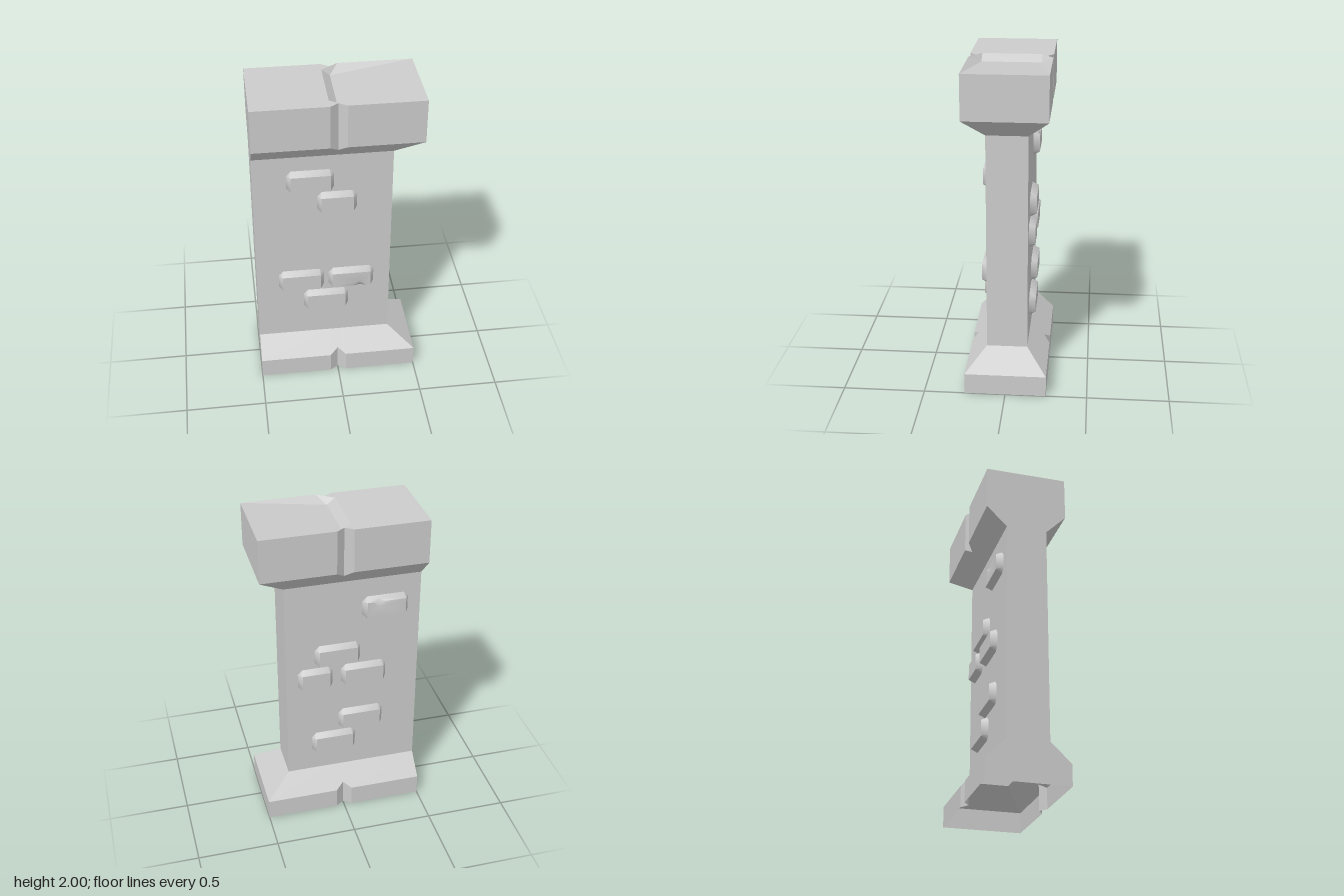
import * as THREE from 'three';
import { toCreasedNormals } from 'three/addons/utils/BufferGeometryUtils.js';

const material = new THREE.MeshStandardMaterial({ color: 0xcccccc, side: THREE.DoubleSide });

// Collects convex polygons (counter-clockwise from outside) as triangle fans.
function polygonMesh(name, polygons, crease) {
  const pos = [];
  for (const p of polygons) {
    for (let i = 1; i < p.length - 1; i++) pos.push(...p[0], ...p[i], ...p[i + 1]);
  }
  const geo = new THREE.BufferGeometry();
  geo.setAttribute('position', new THREE.Float32BufferAttribute(pos, 3));
  const mesh = new THREE.Mesh(toCreasedNormals(geo, crease), material);
  mesh.name = name;
  return mesh;
}

// Horizontal outline: flush at -x, flared at +x, with a point at x = 0 front and back
// that sinks in by `groove` and sits at its own height.
function outline(y, depth, right, groove = 0, grooveY = y) {
  const front = [
    [-0.5, y, depth], [-0.05, y, depth], [0, grooveY, depth - groove],
    [0.05, y, depth], [right, y, depth],
  ];
  const back = front.map(([x, h, z]) => [x, h, -z]).reverse();
  return [...front, ...back];
}

// Wall shell: base, slopes, shaft and cap, open underneath
function createWall() {
  const g = 0.035;
  const levels = [
    outline(0, 0.25, 0.5, g),
    outline(0.13, 0.25, 0.5, g, 0.163),
    outline(0.25, 0.125, 0.34),
    outline(1.605, 0.125, 0.34),
    outline(1.73, 0.25, 0.5, g, 1.695),
    outline(2, 0.25, 0.5, g),
  ];
  const polys = [];
  for (let l = 0; l < levels.length - 1; l++) {
    const a = levels[l], b = levels[l + 1];
    a.forEach((p, i) => {
      const j = (i + 1) % a.length;
      polys.push([p, a[j], b[j], b[i]]);
    });
  }
  return polygonMesh('wall', polys, 0.2);
}

// Cap top: flat on one half, a crack along the middle, gently dished on the other half
function createTop() {
  const pair = (x, y, z) => [[x, y, z], [x, y, -z]];
  const [e, e2] = pair(-0.5, 2, 0.25);
  const [p, p2] = pair(-0.05, 2, 0.25);
  const [s, s2] = pair(-0.05, 2, 0.178);
  const [t, t2] = pair(0, 2, 0.215);
  const [v, v2] = pair(0, 1.96, 0.18);
  const [q, q2] = pair(0.05, 2, 0.25);
  const [c, c2] = pair(0.5, 2, 0.25);
  return polygonMesh('capTop', [
    [e, p, p2, e2], [p, t, s], [s2, t2, p2],
    [s, t, v], [s, v, v2, s2], [s2, v2, t2],
    [v, t, q], [v, q, c], [v, c, c2, v2], [v2, c2, q2], [v2, q2, t2],
  ], 0.4);
}

// Raised brick with clipped corners and bevelled sides, facing +z; chipX adds a chip in the lower edge
function createBrick(width, chipX) {
  const w = width / 2, h = 0.074, cut = 0.03, inset = 0.023, z = 0.04;
  const o = [
    [w, h - cut, 0], [w - cut, h, 0], [cut - w, h, 0], [-w, h - cut, 0],
    [-w, cut - h, 0], [cut - w, -h, 0], [w - cut, -h, 0], [w, cut - h, 0],
  ];
  const a = w - inset, b = h - inset;
  const n = [[a, b, z], [-a, b, z], [-a, -b, z], [a, -b, z]];
  const polys = [];
  for (let k = 0; k < 4; k++) {
    polys.push([o[2 * k], o[2 * k + 1], n[k]]);
    if (k !== 2 || chipX === undefined) {
      polys.push([o[2 * k + 1], o[(2 * k + 2) % 8], n[(k + 1) % 4], n[k]]);
    }
  }
  if (chipX === undefined) {
    polys.push(n);
  } else {
    const L = [chipX - 0.035, -b, z], R = [chipX + 0.035, -b, z];
    const A = [chipX, 0.035 - b, z], V = [chipX, 0.009 - h, 0.015];
    polys.push([A, R, n[3], n[0], n[1], n[2], L]);
    polys.push([V, L, n[2], o[5], o[6], n[3], R]);
    polys.push([A, L, V], [A, V, R]);
  }
  return polygonMesh('brick', polys, 0.9);
}

export function createModel() {
  const model = new THREE.Group();
  model.name = 'stoneWall';
  model.add(createWall(), createTop());

  // Bricks as [x, y, width, chip offset]
  const front = [
    [-0.155, 1.435, 0.285], [0.005, 1.275, 0.24], [-0.22, 0.69, 0.285],
    [0.095, 0.69, 0.285, 0.05], [-0.065, 0.525, 0.285],
  ];
  const back = [
    [-0.28, 1.41, 0.285, 0.045], [0.015, 1.107, 0.285], [0.155, 0.95, 0.22],
    [-0.15, 0.95, 0.285], [-0.135, 0.615, 0.285], [0.04, 0.455, 0.285],
  ];
  const frontBricks = new THREE.Group();
  frontBricks.name = 'frontBricks';
  for (const [x, y, width, chip] of front) {
    const brick = createBrick(width, chip);
    brick.position.set(x, y, 0.125);
    frontBricks.add(brick);
  }
  // Turned over about x, so a chip ends up in the upper edge
  const backBricks = new THREE.Group();
  backBricks.name = 'backBricks';
  for (const [x, y, width, chip] of back) {
    const brick = createBrick(width, chip);
    brick.rotation.x = Math.PI;
    brick.position.set(x, y, -0.125);
    backBricks.add(brick);
  }
  model.add(frontBricks, backBricks);
  return model;
}
